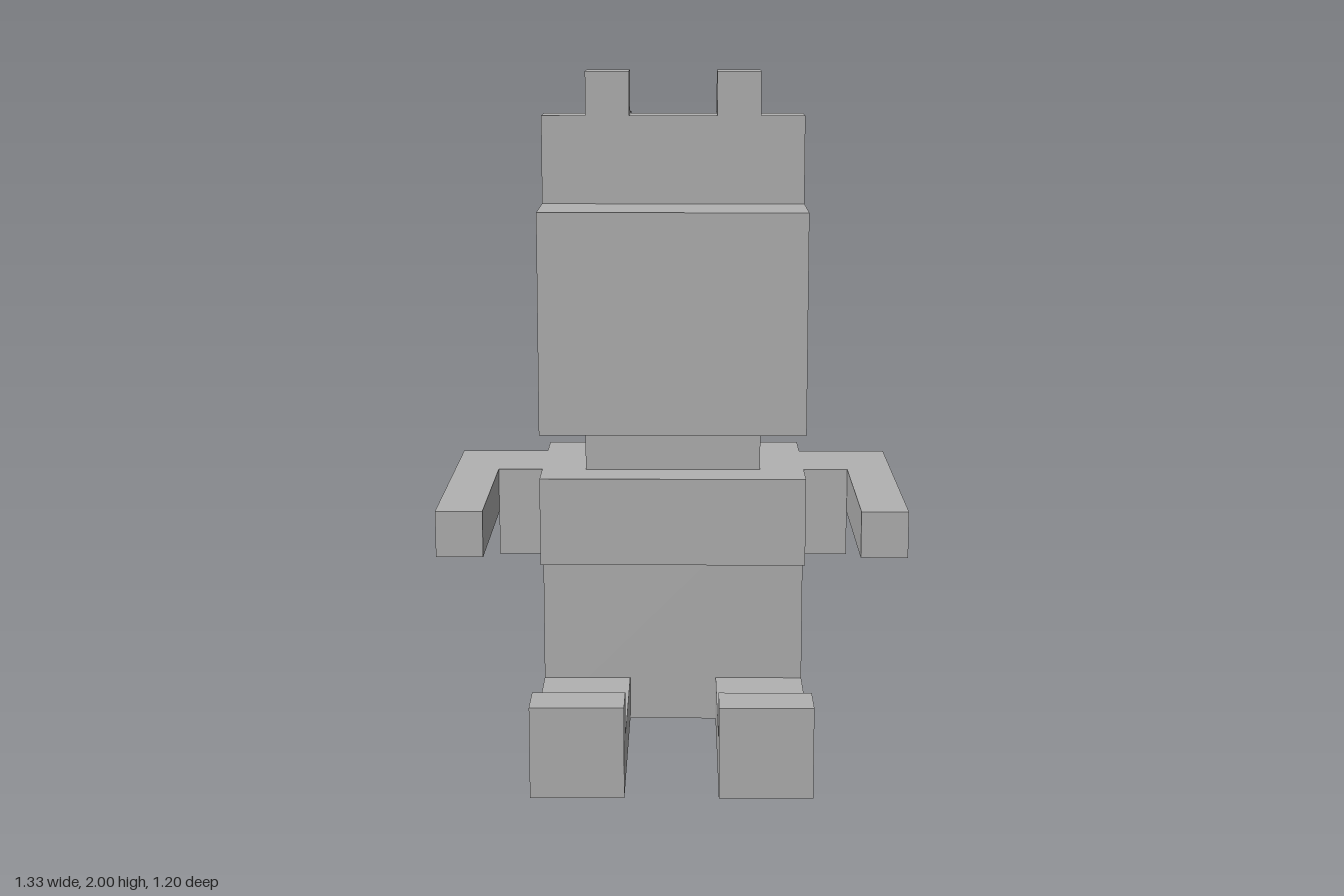
import * as THREE from 'three';

// One block of the figure; every part is measured in whole blocks.
const U = 2 / 15;

export function createModel() {
  const model = new THREE.Group();
  model.name = 'blockFigure';
  const grey = new THREE.MeshStandardMaterial({ color: 0xb2b2b2 });
  grey.name = 'plain grey';

  // Box between block coordinates; each range is [min, max]
  function box(name, [x0, x1], [y0, y1], [z0, z1]) {
    const geo = new THREE.BoxGeometry((x1 - x0) * U, (y1 - y0) * U, (z1 - z0) * U);
    geo.translate(((x0 + x1) / 2) * U, ((y0 + y1) / 2) * U, ((z0 + z1) / 2) * U);
    const mesh = new THREE.Mesh(geo, grey);
    mesh.name = name;
    model.add(mesh);
  }

  // The same box on both sides of the body
  function pair(name, [x0, x1], y, z) {
    box('left' + name, [x0, x1], y, z);
    box('right' + name, [-x1, -x0], y, z);
  }

  // Torso, chest and neck
  box('torso', [-3, 3], [0, 6], [-3.5, -0.5]);
  box('chest', [-3, 3], [4, 6], [-0.5, 0.5]);
  box('neck', [-2, 2], [6, 7], [-2.5, -0.5]);
  box('nape', [-1, 1], [6, 7], [-3.5, -2.5]);

  // Head, with a back layer that is cut away at its four corners
  box('head', [-3, 3], [7, 12], [-3.5, 0.5]);
  box('headBackMiddle', [-3, 3], [8, 11], [-4.5, -3.5]);
  box('headBackTop', [-2, 2], [11, 12], [-4.5, -3.5]);
  box('headBackBottom', [-2, 2], [7, 8], [-4.5, -3.5]);

  // Crest on top of the head
  box('crestFront', [-3, 3], [12, 14], [-2.5, -1.5]);
  box('crestBack', [-1, 1], [12, 13], [-3.5, -2.5]);
  pair('CrestProng', [1, 2], [12, 14], [-3.5, -2.5]);
  pair('CrestTip', [1, 2], [14, 15], [-2.5, -1.5]);

  // Arms reaching forward
  pair('Shoulder', [3, 4], [4, 6], [-2.5, -0.5]);
  pair('Arm', [4, 5], [5, 6], [-2.5, 3.5]);

  // Legs stretched out, toes up
  pair('Leg', [1, 3], [0, 1], [-0.5, 3.5]);
  pair('Foot', [1, 3], [0, 2], [3.5, 4.5]);

  return model;
}
